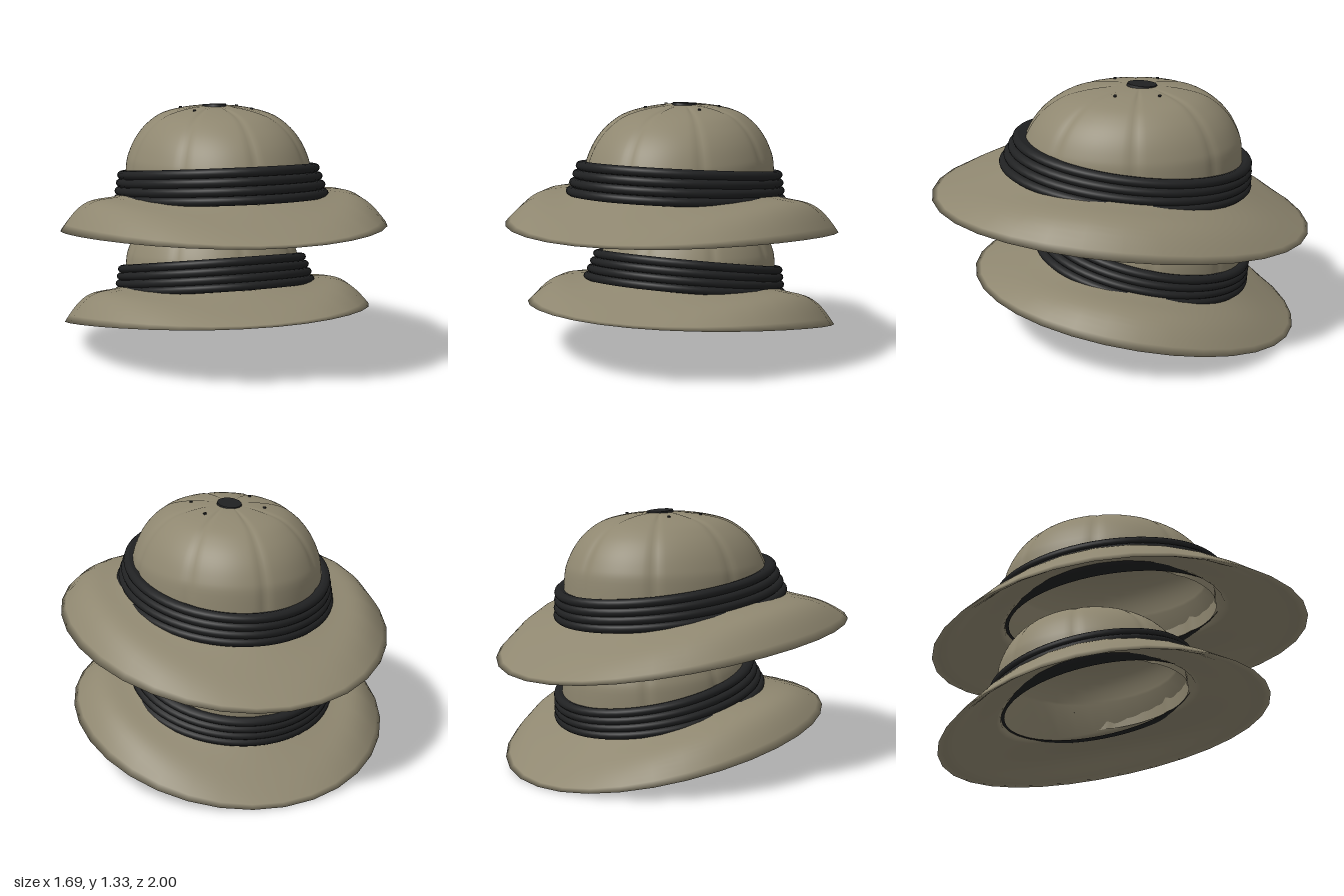
import * as THREE from 'three';

const khaki = new THREE.MeshStandardMaterial({ color: 0x8f8770 });
khaki.name = 'khaki cloth';
const black = new THREE.MeshStandardMaterial({ color: 0x202122 });
black.name = 'black band';
khaki.side = black.side = THREE.DoubleSide;

// Closed rings, listed from the top outwards; point(i, a) gives [x, y, z], a = 0 is the front
function loft(rows, segs, point) {
  const pos = [], index = [];
  for (let i = 0; i < rows; i++) {
    for (let j = 0; j < segs; j++) {
      pos.push(...point(i, (j / segs) * Math.PI * 2));
      if (i === rows - 1) continue;
      const k = (j + 1) % segs, p = i * segs, q = p + segs;
      index.push(p + j, q + j, q + k, p + j, q + k, p + k);
    }
  }
  const g = new THREE.BufferGeometry();
  g.setAttribute('position', new THREE.Float32BufferAttribute(pos, 3));
  g.setIndex(index);
  g.computeVertexNormals();
  return g;
}

function add(parent, name, geometry, material) {
  const m = new THREE.Mesh(geometry, material);
  m.name = name;
  parent.add(m);
  return m;
}

const spline = (pts, n) =>
  new THREE.SplineCurve(pts.map(p => new THREE.Vector2(...p))).getPoints(n);

// Dome profile: share of the base radius, height
const dome = spline([[0, 1.315], [0.3, 1.308], [0.58, 1.275], [0.75, 1.22], [0.87, 1.15],
  [0.95, 1.07], [0.985, 1.0], [1, 0.85]], 28);
const domeCentre = r => -0.06 - 0.04 * (1 - r);

// Crown with eight sewn seams pressed into it
function crownGeometry() {
  return loft(dome.length, 160, (i, a) => {
    const { x: r, y } = dome[i];
    const seam = Math.pow(Math.abs(Math.cos(4 * a)), 50) * THREE.MathUtils.smoothstep(r, 0.1, 0.4);
    const k = r * (1 - 0.016 * seam);
    return [0.485 * k * Math.sin(a), y - 0.008 * seam * (1 - r), domeCentre(r) + 0.58 * k * Math.cos(a)];
  });
}

// Upper face of the brim: t = 0 at the crown, 1 at the rim
function brimPoint(t, a) {
  const s = Math.sin(a), c = Math.cos(a), mix = THREE.MathUtils.lerp;
  const inner = 0.88 + 0.0625 * c - 0.0625 * c * c;
  const rim = 0.69 + 0.0975 * c - 0.0475 * c * c;
  const bulge = 0.075 * s * s * Math.sin(Math.PI * Math.pow(t, 1.5));
  return [mix(0.5, 0.845, t) * s, mix(inner, rim, t) + bulge, mix(-0.03, 0, t) + mix(0.6, 1, t) * c];
}

// Brim top, rim, underside and hollow inside in one skin
function brimGeometry() {
  const n = 14, lining = dome.slice(0, 23).reverse();
  return loft(2 * n + 1 + lining.length, 32, (i, a) => {
    if (i <= n) return brimPoint(i / n, a);
    if (i <= 2 * n) {
      const t = (2 * n - i) / n;
      const [x, y, z] = brimPoint(t, a);
      const thick = 0.028 * Math.min(1, (1 - t) * 5 + 0.15);
      return [x * 0.985, y - thick, z * 0.988];
    }
    const { x: r, y } = lining[i - 2 * n - 1];
    return [0.455 * r * Math.sin(a), y - 0.04, domeCentre(r) + 0.55 * r * Math.cos(a)];
  });
}

// Four stacked folds of cloth, widening downwards and tilted to the back
function bandGeometry() {
  const section = [[0, -0.075, 0.012], [0, -0.03, 0.024]];
  for (let f = 0; f < 4; f++)
    for (let k = 0; k <= 6; k++) {
      const w = Math.PI * (0.5 - k / 6);
      section.push([f, 0.027 * Math.cos(w) - 0.027, 0.0235 * Math.sin(w)]);
    }
  section.push([3, -0.09, -0.03]);
  return loft(section.length, 64, (i, a) => {
    const [f, out, dy] = section[i], d = f / 3, c = Math.cos(a);
    const front = 0.567 + 0.073 * d, back = -0.69;
    const y = 0.969 - 0.125 * d + (0.0715 - 0.004 * d) * c;
    return [(0.525 + 0.032 * d + out) * Math.sin(a), y + dy,
      (front + back) / 2 + ((front - back) / 2 + out) * c];
  });
}

function makeHat(name) {
  const hat = new THREE.Group();
  hat.name = name;
  add(hat, 'crown', crownGeometry(), khaki);
  add(hat, 'brim', brimGeometry(), khaki);
  add(hat, 'hatBand', bandGeometry(), black);

  const button = add(hat, 'topButton', new THREE.CylinderGeometry(0.92, 1, 0.022, 24), black);
  button.scale.set(0.065, 1, 0.083);
  button.position.set(0, 1.312, -0.11);
  button.rotation.x = -0.07;

  // Small air holes around the button
  for (const x of [-0.16, 0.16])
    for (const z of [-0.195, 0.03]) {
      const vent = add(hat, 'airHole', new THREE.CylinderGeometry(0.008, 0.008, 0.008, 10), black);
      vent.position.set(x, 1.305, z);
      vent.rotation.z = -x;
    }
  return hat;
}

export function createModel() {
  const model = new THREE.Group();
  model.name = 'stackedSunHats';
  const upper = makeHat('upperHat');
  const lower = makeHat('lowerHat');
  lower.scale.set(0.968, 0.925, 0.87);
  lower.rotation.x = -0.075;
  lower.position.set(0, -0.436, -0.032);
  model.add(upper, lower);
  return model;
}
